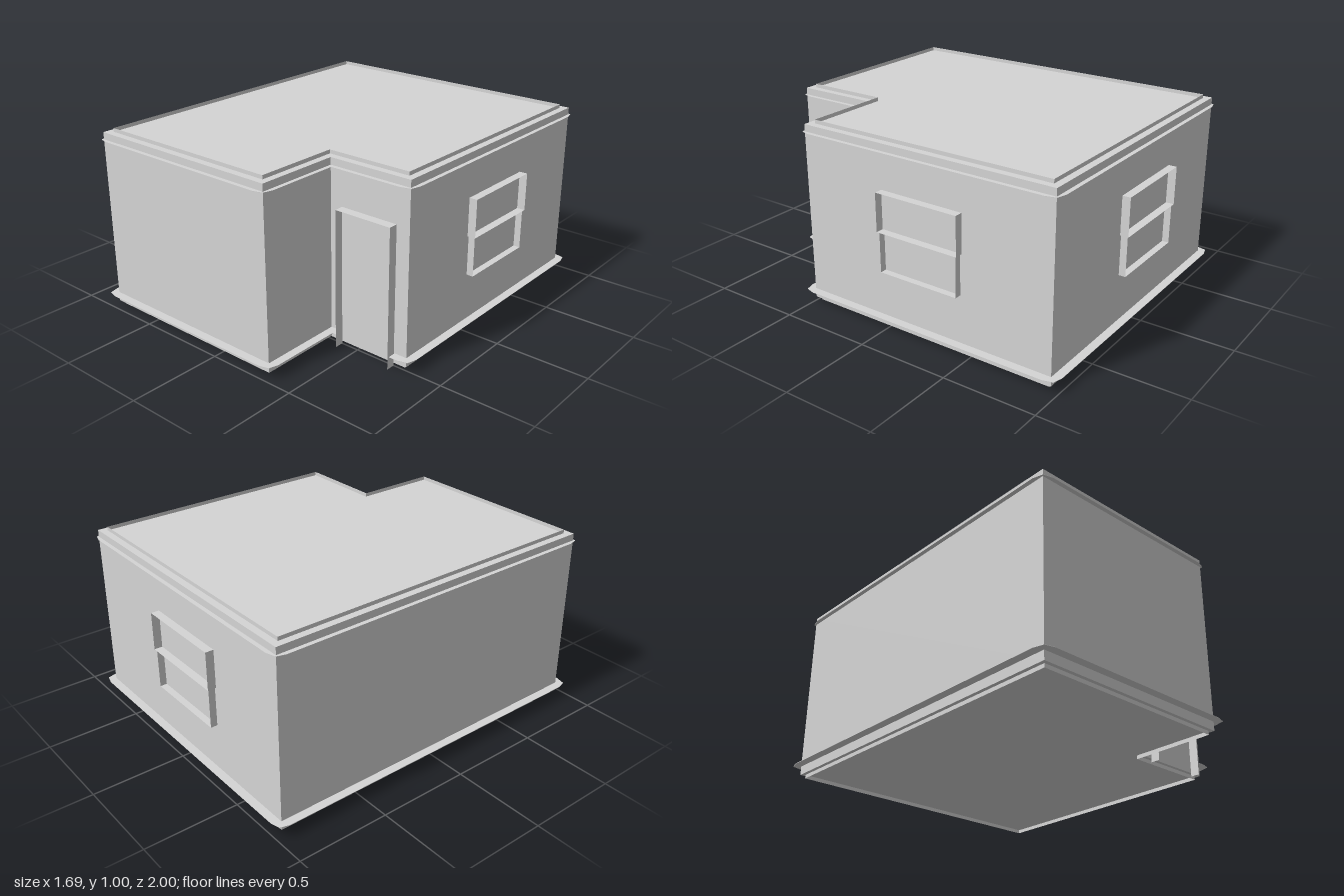
import * as THREE from 'three';

// L-shaped floor plan as [x, z] corners, pushed outward by d
const plan = (d) => [
  [-0.8 - d, -0.955 - d], [0.8 + d, -0.955 - d], [0.8 + d, 0.5 + d],
  [0.33 + d, 0.5 + d], [0.33 + d, 0.955 + d], [-0.8 - d, 0.955 + d],
];
const NOTCH = 3; // index of the concave corner

// Plan whose outer corners are drawn in slightly
function softPlan(d) {
  const full = plan(d);
  const drawnIn = plan(d - 0.014);
  const toward = ([ax, az], [bx, bz]) => {
    const t = 0.065 / Math.hypot(bx - ax, bz - az);
    return [ax + (bx - ax) * t, az + (bz - az) * t];
  };
  return full.flatMap((p, i) => (i === NOTCH ? [p] : [
    toward(p, full[(i + 5) % 6]), drawnIn[i], toward(p, full[(i + 1) % 6]),
  ]));
}

// Solid slab over a plan, from y0 to y1
function slab(points, y0, y1) {
  const shape = new THREE.Shape(points.map(([x, z]) => new THREE.Vector2(x, z)));
  const g = new THREE.ExtrudeGeometry(shape, { depth: y1 - y0, bevelEnabled: false });
  return g.rotateX(Math.PI / 2).translate(0, y1, 0);
}

// Thin upright band along a plan; an open one skips the last side
function band(points, y0, y1, open = false) {
  const pos = [];
  const sides = points.length - (open ? 1 : 0);
  for (let i = 0; i < sides; i++) {
    const [ax, az] = points[i];
    const [bx, bz] = points[(i + 1) % points.length];
    pos.push(ax, y0, az, bx, y0, bz, bx, y1, bz, ax, y0, az, bx, y1, bz, ax, y1, az);
  }
  const g = new THREE.BufferGeometry();
  g.setAttribute('position', new THREE.Float32BufferAttribute(pos, 3));
  g.computeVertexNormals();
  return g;
}

// Rectangular casing standing d out of a wall toward +z
function casing(w, y0, y1, d, open = false) {
  const h = w / 2;
  const loop = [[-h, -y0], [-h, -y1], [h, -y1], [h, -y0]].map(([x, z]) => [x, z]);
  return band(loop, 0, d, open).rotateX(Math.PI / 2);
}

export function createModel() {
  const model = new THREE.Group();
  const grey = new THREE.MeshStandardMaterial({ color: 0xd5d5d5, side: THREE.DoubleSide });
  grey.name = 'plain grey';

  const add = (name, geometry, parent = model) => {
    const mesh = new THREE.Mesh(geometry, grey);
    mesh.name = name;
    parent.add(mesh);
    return mesh;
  };

  // Walls with floor and roof
  add('walls', slab(plan(0), 0.02, 0.98));

  // Thin bands above the roof and under the floor
  add('roofRim', band(plan(-0.037), 0.98, 1.0));
  add('plinth', band(plan(-0.02), 0, 0.02));

  // Projecting crown ledge, and a base ledge interrupted by the doorway
  add('crownLedge', slab(softPlan(0.022), 0.94, 0.942));
  const base = softPlan(0.045);
  base.splice(NOTCH * 3, 0, [0.73, 0.545], [0.73, 0.49], [0.4, 0.49], [0.4, 0.545]);
  add('baseLedge', slab(base, 0.068, 0.07));

  // Door casing in the notch, open at the threshold
  add('doorCasing', casing(0.325, 0, 0.745, 0.05, true)).position.set(0.5625, 0, 0.5);

  // Sash windows on the left side wall and the back wall
  const addWindow = (name, w, x, z, turn) => {
    const group = new THREE.Group();
    group.name = name;
    add('upperSash', casing(w, 0.54, 0.745, 0.044), group);
    add('lowerSash', casing(w - 0.02, 0.325, 0.54, 0.036), group);
    group.position.set(x, 0, z);
    group.rotation.y = turn;
    model.add(group);
  };
  addWindow('sideWindow', 0.475, 0.8, -0.225, Math.PI / 2);
  addWindow('backWindow', 0.5, -0.05, -0.955, Math.PI);

  return model;
}
